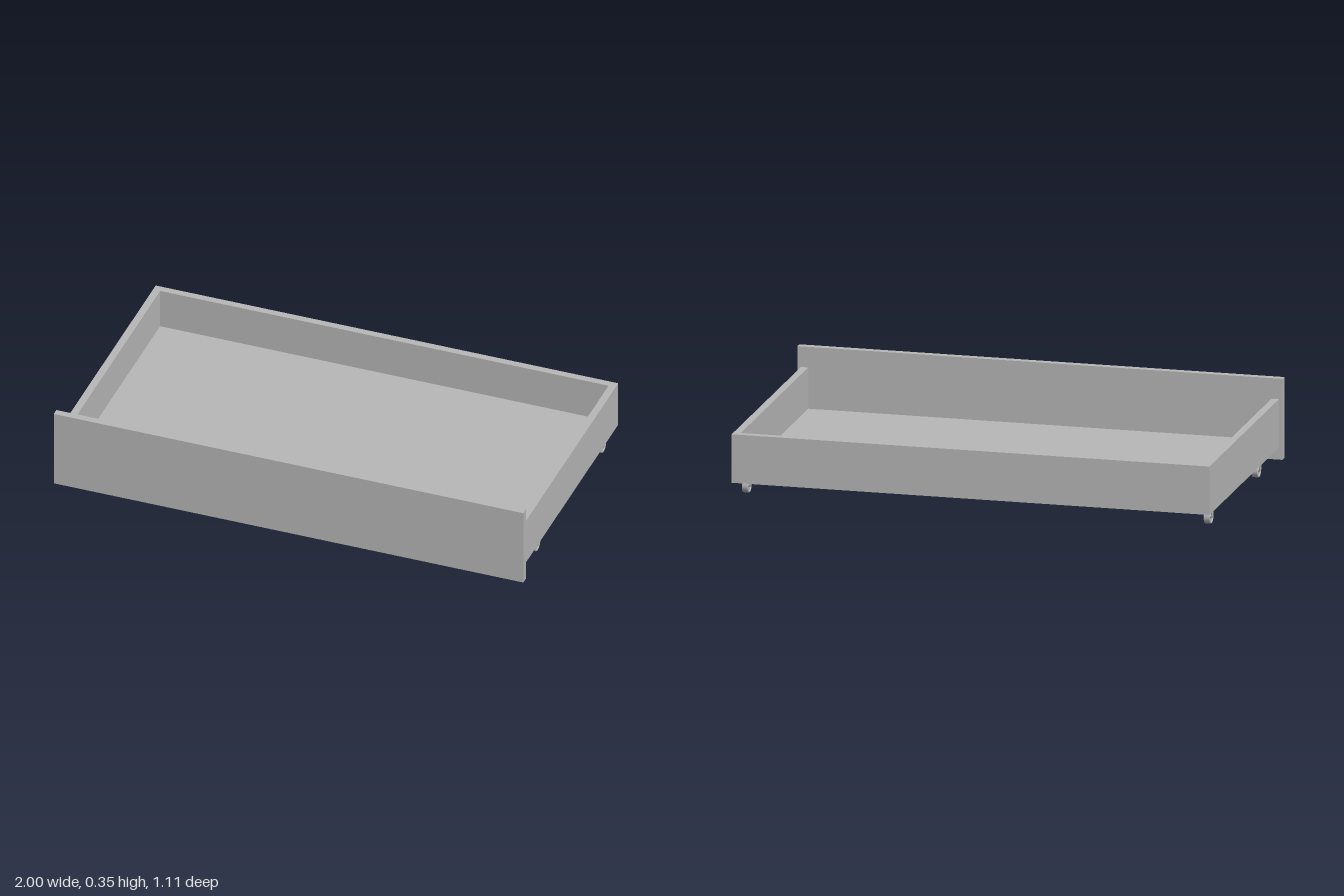
import * as THREE from 'three';

const grey = new THREE.MeshStandardMaterial({ color: 0xb8b8b8 });
grey.name = 'grey';

function add(parent, name, geometry, x = 0, y = 0, z = 0) {
  const mesh = new THREE.Mesh(geometry, grey);
  mesh.name = name;
  mesh.position.set(x, y, z);
  parent.add(mesh);
  return mesh;
}

// Box given by its minimum and maximum corners
function board(parent, name, [x0, y0, z0], [x1, y1, z1]) {
  return add(parent, name, new THREE.BoxGeometry(x1 - x0, y1 - y0, z1 - z0),
    (x0 + x1) / 2, (y0 + y1) / 2, (z0 + z1) / 2);
}

// Wheel with a raised tyre, recessed sides and a hub, turning about x
function wheelGeometry() {
  const half = [[0, 0.012], [0.008, 0.012], [0.008, 0.008], [0.025, 0.008], [0.025, 0.013], [0.029, 0.013], [0.031, 0.011]];
  const profile = [...half.map(([r, w]) => [r, -w]), ...half.slice().reverse()];
  // Doubled points keep the edges crisp
  const points = profile.flatMap(([r, w]) => [new THREE.Vector2(r, w), new THREE.Vector2(r, w)]);
  return new THREE.LatheGeometry(points, 32).rotateZ(Math.PI / 2);
}

// Tapered fork plate with a round end at the axle, lying in the yz plane
function forkGeometry() {
  const shape = new THREE.Shape();
  shape.moveTo(-0.018, 0.034);
  shape.lineTo(-0.018, 0.024);
  shape.lineTo(-0.008, -0.001);
  shape.absarc(0, 0, 0.008, Math.PI, Math.PI * 2, false);
  shape.lineTo(0.018, 0.024);
  shape.lineTo(0.018, 0.034);
  shape.closePath();
  return new THREE.ExtrudeGeometry(shape, { depth: 0.003, bevelEnabled: false, curveSegments: 8 })
    .translate(0, 0, -0.0015).rotateY(Math.PI / 2);
}

export function createModel() {
  const model = new THREE.Group();
  model.name = 'rollingDrawer';

  // Tray
  const back = -0.557, front = 0.527, side = 0.985, t = 0.03;
  const low = 0.065, floor = 0.095, top = 0.265;
  board(model, 'frontPanel', [-1, 0.016, front], [1, 0.35, 0.557]);
  board(model, 'bottomBoard', [-side, low, back], [side, floor, front]);
  board(model, 'backWall', [-side, floor, back], [side, top, back + t]);
  board(model, 'leftWall', [side - t, floor, back + t], [side, top, front]);
  board(model, 'rightWall', [-side, floor, back + t], [-side + t, top, front]);

  // Four casters
  const wheel = wheelGeometry();
  const fork = forkGeometry();
  const axle = new THREE.CylinderGeometry(0.003, 0.003, 0.036, 12).rotateZ(Math.PI / 2);
  for (const x of [-0.952, 0.952]) {
    for (const z of [0.3, -0.445]) {
      const caster = new THREE.Group();
      caster.name = 'caster';
      caster.position.set(x, 0.031, z);
      add(caster, 'wheel', wheel);
      add(caster, 'axle', axle);
      for (const s of [-1, 1]) add(caster, 'forkPlate', fork, s * 0.0155);
      add(caster, 'mountPlate', new THREE.BoxGeometry(0.034, 0.002, 0.036), 0, 0.033, 0);
      model.add(caster);
    }
  }
  return model;
}
